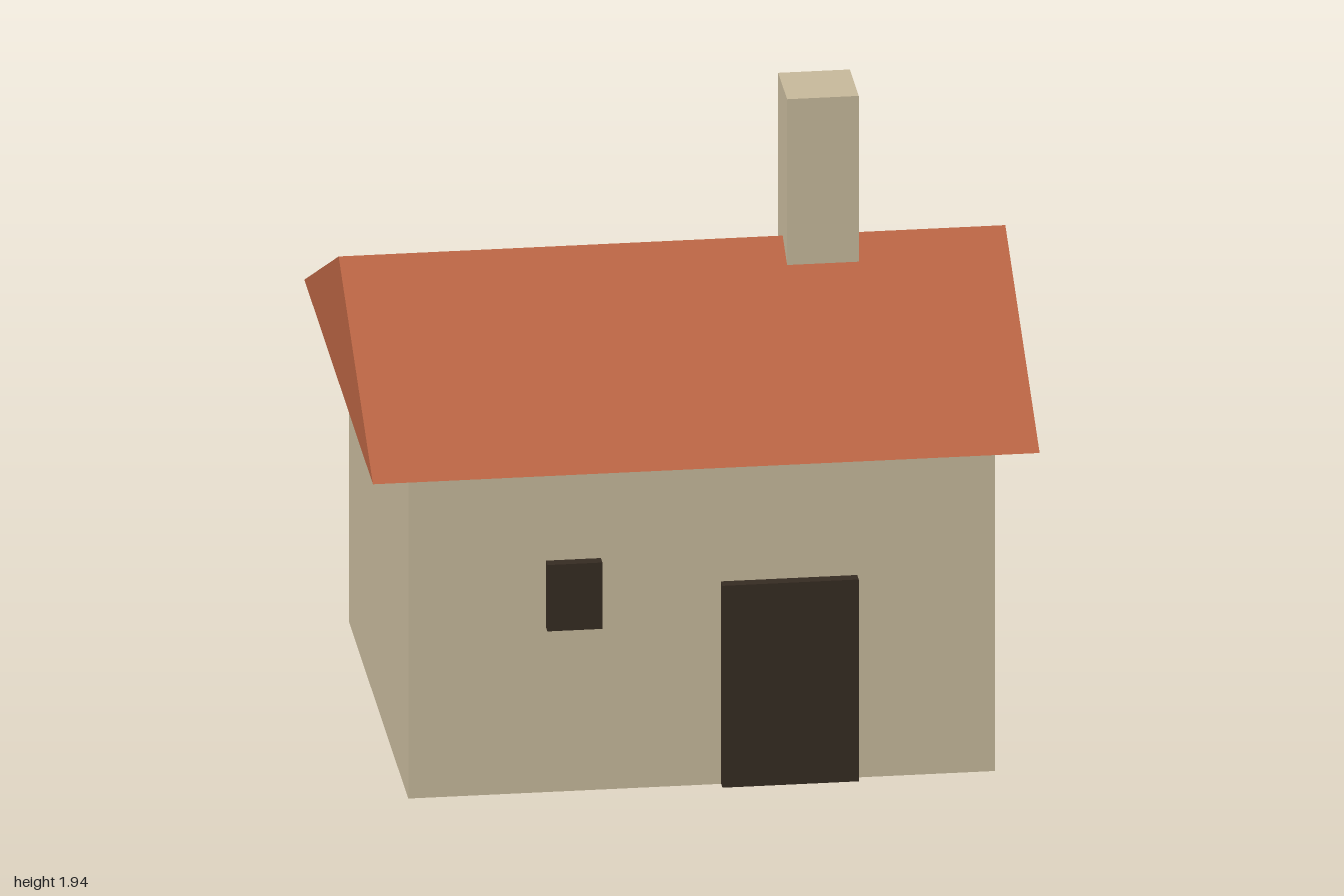
import * as THREE from 'three';

const material = (name, color) => {
  const m = new THREE.MeshStandardMaterial({ color });
  m.name = name;
  return m;
};

export function createModel() {
  const house = new THREE.Group();
  house.name = 'house';
  const plaster = material('plaster', 0xc8ba9c);
  const tile = material('roofTile', 0xb86443);
  const darkWood = material('darkWood', 0x362c22);

  const add = (name, geometry, mat) => {
    const mesh = new THREE.Mesh(geometry, mat);
    mesh.name = name;
    house.add(mesh);
  };

  // Box given by its lower and upper limits on each axis
  const block = (name, mat, [x0, x1], [y0, y1], [z0, z1]) => {
    const g = new THREE.BoxGeometry(x1 - x0, y1 - y0, z1 - z0);
    g.translate((x0 + x1) / 2, (y0 + y1) / 2, (z0 + z1) / 2);
    add(name, g, mat);
  };

  block('walls', plaster, [-0.88, 0.88], [0, 1.06], [-0.707, 0.707]);
  block('chimney', plaster, [0.332, 0.547], [1.3, 1.943], [-0.106, 0.106]);
  block('door', darkWood, [0.058, 0.467], [0.002, 0.65], [0.7, 0.743]);
  block('window', darkWood, [-0.467, -0.302], [0.53, 0.743], [0.7, 0.743]);

  // Solid gable roof: triangular section run along x
  const gable = new THREE.Shape([
    new THREE.Vector2(-0.82, 1.06),
    new THREE.Vector2(0.82, 1.06),
    new THREE.Vector2(0, 1.463),
  ]);
  const roof = new THREE.ExtrudeGeometry(gable, { depth: 2, bevelEnabled: false });
  roof.translate(0, 0, -1);
  roof.rotateY(Math.PI / 2);
  add('roof', roof, tile);

  return house;
}
